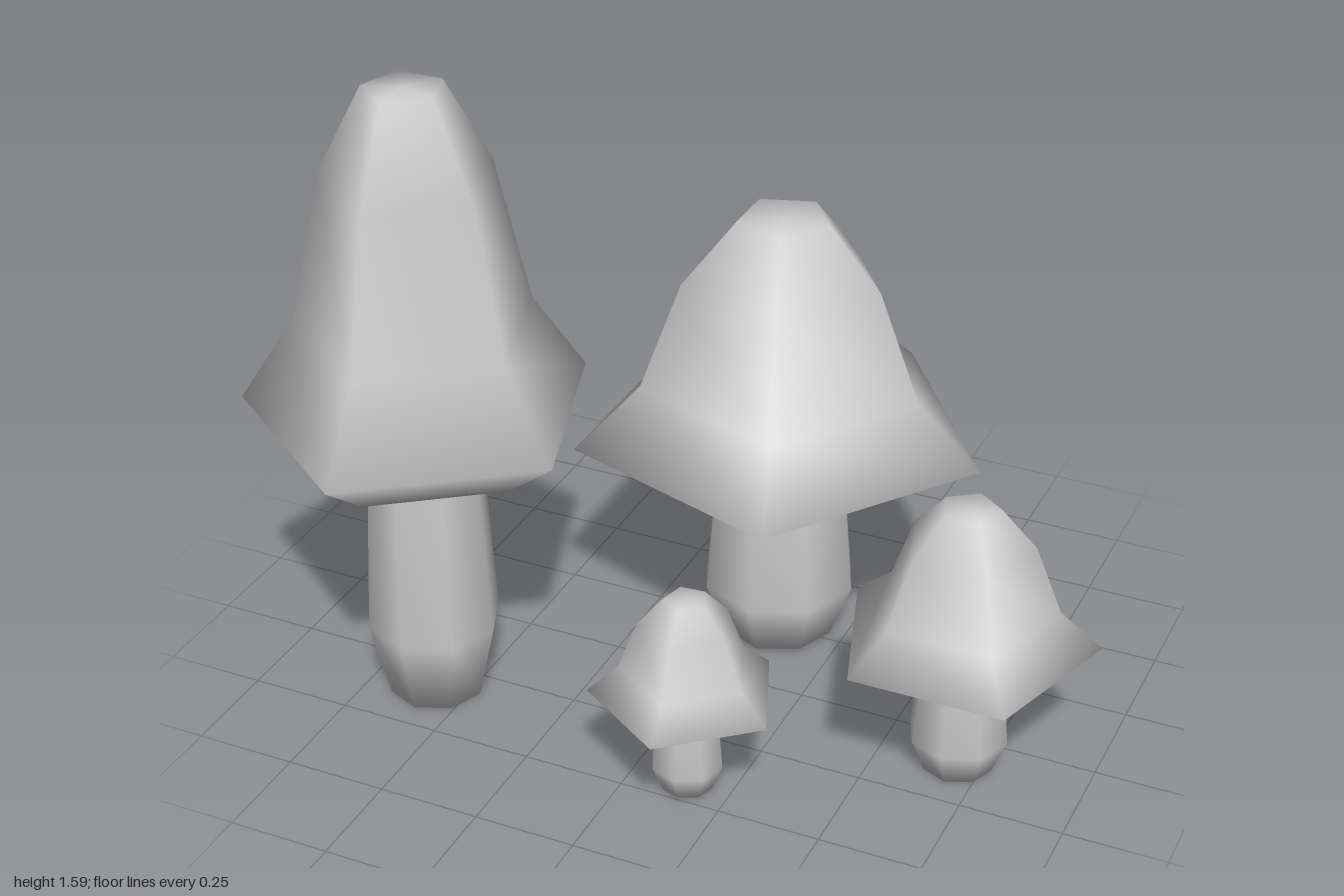
import * as THREE from 'three';

const material = new THREE.MeshStandardMaterial({ color: 0xcccccc });

// Unit profiles, bottom to top: radius relative to the cap rim, height 0..1
const CAP = [[0, 0], [0.66, 0], [1, 0.125], [0.685, 0.355], [0.485, 0.765], [0.223, 1], [0, 1]];
const STEM = [[0, 0], [0.273, 0], [0.38, 0.3], [0.322, 1], [0.322, 1.05]];

function lathe(name, profile, radius, y0, y1, sides) {
  const points = profile.map(([r, t]) => new THREE.Vector2(r * radius, y0 + t * (y1 - y0)));
  const mesh = new THREE.Mesh(new THREE.LatheGeometry(points, sides), material);
  mesh.name = name;
  return mesh;
}

// One mushroom: five-sided flared cap on an eight-sided swollen stem
function mushroom({ name, x, z, radius, base, rim, top, turn }) {
  const group = new THREE.Group();
  group.name = name;
  group.add(lathe('stem', STEM, radius, base, rim, 8));
  group.add(lathe('cap', CAP, radius, rim, top, 5));
  group.position.set(x, 0, z);
  group.rotation.y = turn;
  return group;
}

export function createModel() {
  const model = new THREE.Group();
  model.name = 'mushroomCluster';
  const specs = [
    { name: 'tallMushroom', x: -0.59, z: 0.32, radius: 0.43, base: 0, rim: 0.67, top: 1.59, turn: 0 },
    { name: 'wideMushroom', x: 0.075, z: -0.265, radius: 0.515, base: 0.01, rim: 0.495, top: 1.15, turn: Math.PI / 2 },
    { name: 'smallMushroom', x: 0.69, z: 0.1, radius: 0.317, base: 0.005, rim: 0.3, top: 0.71, turn: Math.PI },
    { name: 'tinyMushroom', x: 0.145, z: 0.443, radius: 0.23, base: 0.01, rim: 0.23, top: 0.525, turn: 0.07 },
  ];
  for (const spec of specs) model.add(mushroom(spec));
  return model;
}
